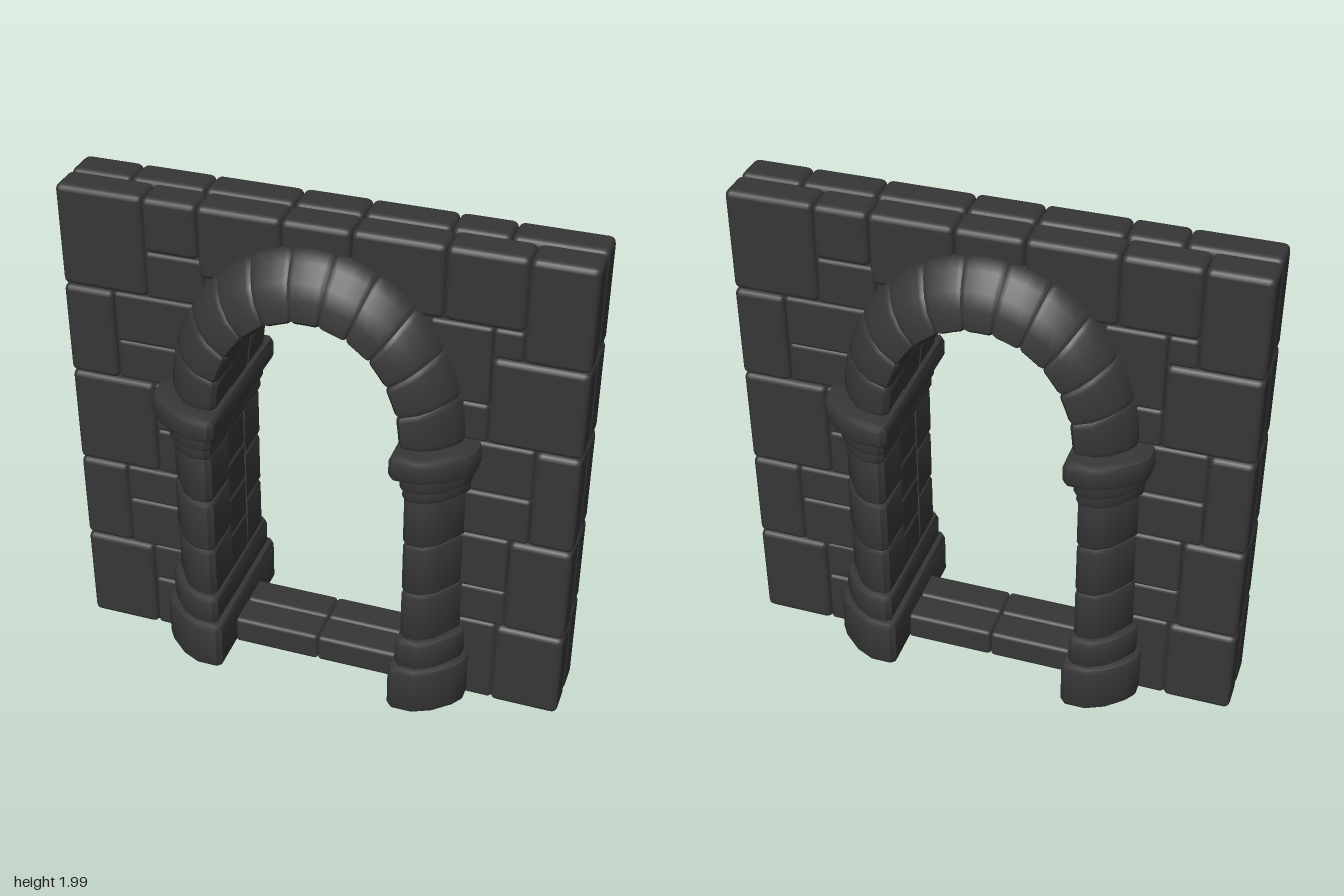
import * as THREE from 'three';
import { toCreasedNormals } from 'three/addons/utils/BufferGeometryUtils.js';
import { RoundedBoxGeometry } from 'three/addons/geometries/RoundedBoxGeometry.js';

const stoneMat = new THREE.MeshStandardMaterial({ color: 0x363636 });
stoneMat.name = 'dark stone';

const SPRING = 1.22; // height where the arch starts

let seed = 7;
const rnd = () => (seed = (seed * 16807) % 2147483647) / 2147483647;

function add(group, name, geometry) {
  const mesh = new THREE.Mesh(geometry, stoneMat);
  mesh.name = name;
  group.add(mesh);
  return mesh;
}

// Rounded block given by its extents
function block(group, name, x0, x1, y0, y1, z0, z1, r = 0.02) {
  const g = new RoundedBoxGeometry(x1 - x0, y1 - y0, z1 - z0, 2, r);
  g.translate((x0 + x1) / 2, (y0 + y1) / 2, (z0 + z1) / 2);
  return add(group, name, g);
}

// Plan outline (x, z) raised from y0 to y1 with soft edges
function planBlock(group, name, plan, y0, y1, b = 0.016) {
  const shape = new THREE.Shape(plan.map(([x, z]) => new THREE.Vector2(x, -z)));
  const g = new THREE.ExtrudeGeometry(shape, {
    depth: y1 - y0 - 2 * b, bevelEnabled: true, bevelSize: b, bevelThickness: b,
    bevelOffset: -b, bevelSegments: 2,
  });
  g.rotateX(-Math.PI / 2);
  g.translate(0, y0 + b, 0);
  return add(group, name, toCreasedNormals(g, 0.75));
}

// Front half of a pier outline: flat face, outer corner rounded off
const halfPlan = (s, x0, x1, z) => [
  [x0, z - 0.02], [x0 + 0.02, z], [x0 + (x1 - x0) * 0.38, z], [x0 + (x1 - x0) * 0.65, z - 0.035],
  [x1 - 0.03, z - 0.095], [x1, z - 0.14],
].map(([x, d]) => [s * x, d]);

const fullPlan = (s, x0, x1, z) => {
  const h = halfPlan(s, x0, x1, z);
  return [...h, ...h.map(([x, d]) => [x, -d]).reverse()];
};

// Arch stone: section (u from inner to outer curve, z) swept between two angles
function archStone(group, name, section, t0, t1) {
  const n = section.length, pos = [], idx = [];
  const cu = section.reduce((a, p) => a + p[0], 0) / n;
  const cz = section.reduce((a, p) => a + p[1], 0) / n;
  const put = (u, z, t) => pos.push(
    (0.355 + 0.215 * u) * Math.cos(t), SPRING + (0.435 + 0.245 * u) * Math.sin(t), z);
  const rings = [[0, 0.91], [0.05, 0.97], [0.14, 1], [0.5, 1.01], [0.86, 1], [0.95, 0.97], [1, 0.91]];
  for (const [f, s] of rings) {
    for (const [u, z] of section) put(cu + (u - cu) * s, cz + (z - cz) * s, t0 + (t1 - t0) * f);
  }
  put(cu, cz, t0);
  put(cu, cz, t1);
  const last = (rings.length - 1) * n, c0 = rings.length * n;
  for (let j = 0; j < n; j++) {
    const k = (j + 1) % n;
    for (let i = 0; i < rings.length - 1; i++) {
      const a = i * n + j, b = i * n + k;
      idx.push(a, b, b + n, a, b + n, a + n);
    }
    idx.push(c0, k, j, c0 + 1, last + j, last + k);
  }
  const g = new THREE.BufferGeometry();
  g.setAttribute('position', new THREE.Float32BufferAttribute(pos, 3));
  g.setIndex(idx);
  return add(group, name, toCreasedNormals(g, 0.7));
}

// Large squared stones on the wall edges: x0, x1, y0, y1
const edgeStones = [
  [-1, -0.66, 1.58, 1.99], [-1, -0.8, 1.2, 1.58], [-1, -0.66, 0.79, 1.2],
  [-1, -0.8, 0.41, 0.79], [-1, -0.71, 0, 0.41],
  [0.76, 1, 1.58, 1.99], [0.65, 1, 1.22, 1.58], [0.83, 1, 0.8, 1.22],
  [0.76, 1, 0.38, 0.8], [0.73, 1, 0, 0.38],
  [-0.66, -0.45, 1.77, 1.99], [-0.45, -0.13, 1.7, 1.99], [-0.13, 0.13, 1.78, 1.99],
  [0.13, 0.47, 1.7, 1.99], [0.47, 0.76, 1.7, 1.99],
];

// Smaller stones between the edges and the arch
const fillStones = [
  [-0.66, -0.43, 1.58, 1.77], [-0.8, -0.46, 1.37, 1.58], [-0.8, -0.5, 1.2, 1.37],
  [-0.66, -0.5, 0.99, 1.2], [-0.66, -0.5, 0.79, 0.99], [-0.8, -0.5, 0.63, 0.79],
  [-0.8, -0.5, 0.41, 0.63], [-0.71, -0.5, 0.24, 0.41], [-0.71, -0.5, 0, 0.24],
  [0.42, 0.65, 1.38, 1.7], [0.65, 0.76, 1.58, 1.7], [0.5, 0.65, 1.22, 1.38],
  [0.5, 0.83, 1, 1.22], [0.5, 0.83, 0.8, 1], [0.5, 0.76, 0.55, 0.8],
  [0.5, 0.76, 0.38, 0.55], [0.5, 0.73, 0, 0.38],
];

// One face of the wall with its arch ring and pier fronts
function buildFace() {
  const face = new THREE.Group();
  face.name = 'wallFace';
  for (const [x0, x1, y0, y1] of edgeStones) {
    block(face, 'edgeStone', x0, x1, y0, y1, 0.001, 0.137 + rnd() * 0.004, 0.024);
  }
  for (const [x0, x1, y0, y1] of fillStones) {
    block(face, 'fillStone', x0, x1, y0, y1, 0.02, 0.124 + rnd() * 0.012, 0.016);
  }
  // Sill
  for (const x of [-0.36, 0]) block(face, 'sillStone', x, x + 0.36, 0, 0.12, 0.001, 0.137, 0.016);

  // Arch ring, sloping back towards its outer edge
  const section = [[0, 0.09], [0, 0.25], [0.07, 0.27], [0.4, 0.268], [0.65, 0.24],
    [0.88, 0.19], [1, 0.15], [1, 0.09]];
  const count = 11;
  for (let i = 0; i < count; i++) {
    const s = 0.985 + rnd() * 0.02;
    archStone(face, 'archStone', section.map(([u, z]) => [u + (rnd() - 0.5) * 0.01, z * s]),
      (Math.PI * i) / count, (Math.PI * (i + 1)) / count);
  }

  // Pier shafts
  const courses = [0.33, 0.56, 0.79, 1.01];
  for (const s of [-1, 1]) {
    for (let i = 0; i < 3; i++) {
      const d = rnd() * 0.008;
      const plan = [...halfPlan(s, 0.38 + d / 2, 0.59 - d / 2, 0.275 - d), [s * 0.59, 0.09], [s * 0.38, 0.09]];
      planBlock(face, 'shaftStone', plan, courses[i], courses[i + 1]);
    }
  }
  return face;
}

export function createModel() {
  const model = new THREE.Group();
  model.name = 'stoneArchway';

  // Mortar core behind the stones
  const outline = new THREE.Shape();
  outline.moveTo(-0.98, 0.01).lineTo(0.98, 0.01).lineTo(0.98, 1.965).lineTo(-0.98, 1.965).closePath();
  const hole = new THREE.Path();
  hole.moveTo(-0.45, 0.05).lineTo(0.45, 0.05).lineTo(0.45, SPRING);
  hole.absellipse(0, SPRING, 0.45, 0.54, 0, Math.PI, false, 0);
  hole.closePath();
  outline.holes.push(hole);
  const core = new THREE.ExtrudeGeometry(outline, { depth: 0.236, bevelEnabled: false, curveSegments: 24 });
  core.translate(0, 0, -0.118);
  add(model, 'wallCore', core);

  // The back repeats the front, turned half around
  const front = buildFace();
  const back = front.clone();
  back.name = 'wallFaceBack';
  back.rotation.y = Math.PI;
  model.add(front, back);

  // Middle row of the arch underside
  const mid = [[0.03, -0.092], [0.0, -0.075], [0.0, 0.075], [0.03, 0.092], [0.7, 0.092], [0.7, -0.092]];
  for (let i = 0; i < 9; i++) {
    archStone(model, 'soffitStone', mid, (Math.PI * i) / 9, (Math.PI * (i + 1)) / 9);
  }

  // Pier bases, jambs and capitals running through the opening
  for (const s of [-1, 1]) {
    const pier = new THREE.Group();
    pier.name = s > 0 ? 'leftPier' : 'rightPier';
    planBlock(pier, 'base', fullPlan(s, 0.35, 0.63, 0.32), 0, 0.215, 0.022);
    planBlock(pier, 'upperBase', fullPlan(s, 0.37, 0.61, 0.297), 0.205, 0.34, 0.022);
    [0.33, 0.5, 0.68, 0.85, 1.01].forEach((y, i, a) => {
      if (i === 0) return;
      const x = s * 0.47;
      block(pier, 'jambStone', x - 0.088, x + 0.088, a[i - 1], y, -0.093, 0.093, 0.014);
    });
    planBlock(pier, 'neck', fullPlan(s, 0.378, 0.602, 0.285), 1.0, 1.08, 0.016);
    planBlock(pier, 'upperNeck', fullPlan(s, 0.37, 0.61, 0.297), 1.05, 1.14, 0.016);
    planBlock(pier, 'capital', fullPlan(s, 0.338, 0.635, 0.338), 1.118, 1.222, 0.024);
    model.add(pier);
  }
  return model;
}
